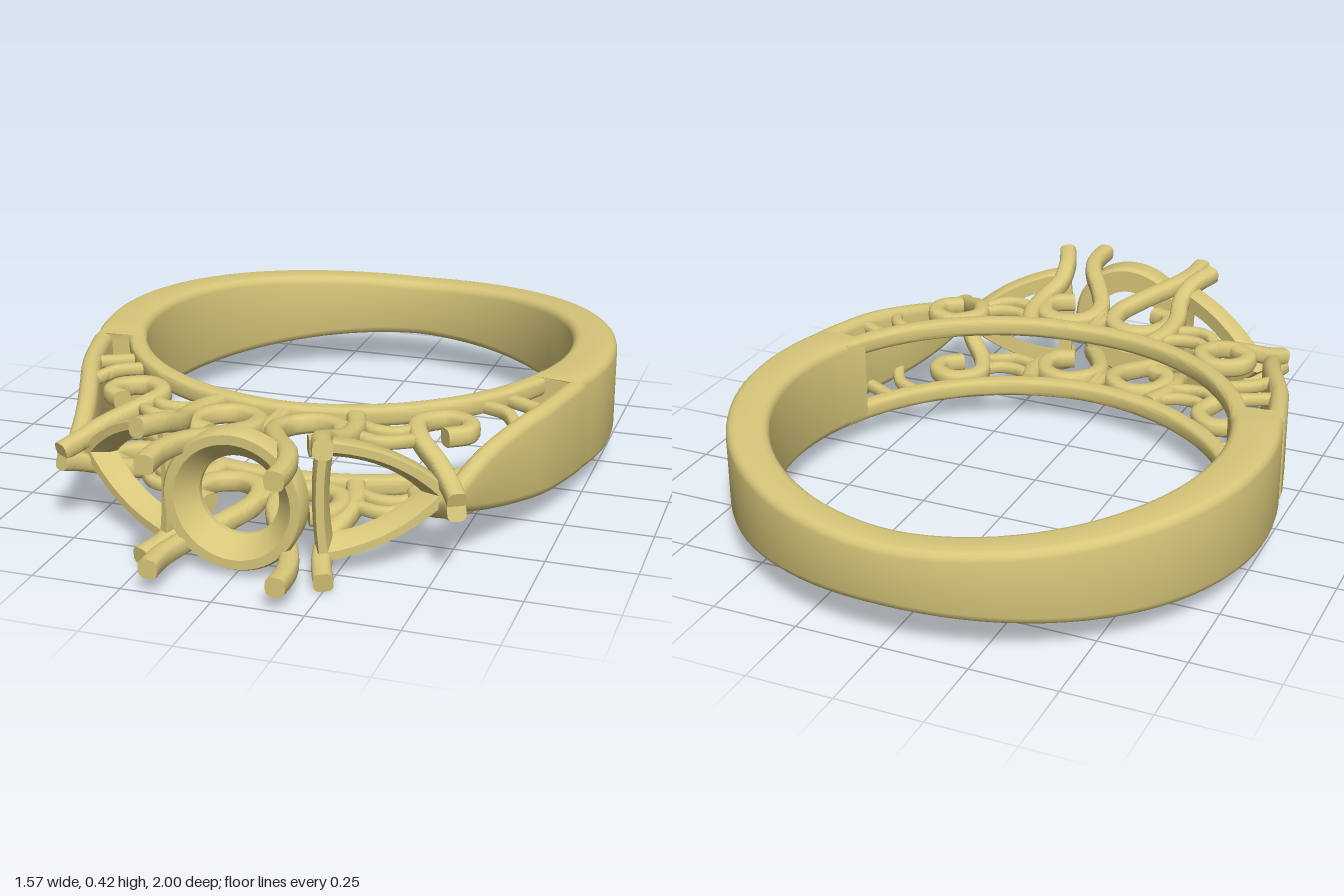
import * as THREE from 'three';
import { toCreasedNormals } from 'three/addons/utils/BufferGeometryUtils.js';

const MID = 0.213; // height of the horizontal mirror plane
const BORE = { z: -0.247, r: 0.647 }; // finger hole
const metal = new THREE.MeshStandardMaterial({ color: 0xd8c77a });

function addMesh(parent, name, geometry) {
  const mesh = new THREE.Mesh(geometry, metal);
  mesh.name = name;
  parent.add(mesh);
  return mesh;
}

// Skin over a row of equal-sized section loops
function loft(rings, closed) {
  const n = rings[0].length, pos = [], idx = [];
  rings.forEach(r => r.forEach(p => pos.push(...p)));
  const spans = closed ? rings.length : rings.length - 1;
  for (let i = 0; i < spans; i++) {
    for (let j = 0; j < n; j++) {
      const k = (j + 1) % n, m = (i + 1) % rings.length;
      const a = i * n + j, b = i * n + k, c = m * n + k, d = m * n + j;
      idx.push(a, b, c, a, c, d);
    }
  }
  if (!closed) {
    const e = (rings.length - 1) * n;
    for (let j = 1; j < n - 1; j++) idx.push(0, j + 1, j, e, e + j, e + j + 1);
  }
  const g = new THREE.BufferGeometry();
  g.setAttribute('position', new THREE.Float32BufferAttribute(pos, 3));
  g.setIndex(idx);
  return toCreasedNormals(g, 0.75);
}

// Upright rounded rectangle between an inner and an outer plan point
function section([ix, iz], [ox, oz], y, half, radius) {
  const w = Math.hypot(ox - ix, oz - iz);
  const r = Math.min(radius, w * 0.45, half * 0.9);
  const pts = [];
  [[1, -1, -90], [1, 1, 0], [-1, 1, 90], [-1, -1, 180]].forEach(([su, sv, start]) => {
    for (let k = 0; k <= 3; k++) {
      const a = THREE.MathUtils.degToRad(start + k * 30);
      const u = 0.5 + (su * (w / 2 - r) + r * Math.cos(a)) / w;
      const v = sv * (half - r) + r * Math.sin(a);
      pts.push([ix + (ox - ix) * u, y + v, iz + (oz - iz) * u]);
    }
  });
  return pts;
}

const polar = (r, cz, deg) => {
  const a = THREE.MathUtils.degToRad(deg);
  return [r * Math.sin(a), cz - r * Math.cos(a)];
};

// Soft-square wire along plan points [x, height off mid plane, z]
function wire(parent, name, pts, r, sx, sy) {
  const path = new THREE.CatmullRomCurve3(
    pts.map(([x, h, z]) => new THREE.Vector3(x * sx, MID + h * sy, z)), false, 'centripetal');
  const outline = [];
  for (let i = 0; i < 16; i++) {
    const a = (i / 16) * Math.PI * 2, c = Math.cos(a), s = Math.sin(a);
    outline.push(new THREE.Vector2(
      r * Math.sign(c) * Math.abs(c) ** 0.65, r * Math.sign(s) * Math.abs(s) ** 0.65));
  }
  const g = new THREE.ExtrudeGeometry(new THREE.Shape(outline),
    { steps: 12 * (pts.length - 1), extrudePath: path, bevelEnabled: false });
  addMesh(parent, name, toCreasedNormals(g, 0.8));
}

function buildShank(parent) {
  // Right half: [inner, outer, half height], from the back to the shoulder tip
  const half = [];
  for (let a = 0; a <= 108; a += 4) {
    half.push([polar(BORE.r, BORE.z, a), polar(0.785, -0.215, a),
      0.092 + 0.05 * Math.sin(Math.min(a, 90) * Math.PI / 180 / 1) ** 1.5]);
  }
  half.push([[0.582, 0.035], [0.752, 0.03], 0.139], [[0.692, 0.045], [0.748, 0.06], 0.138]);
  const arm = new THREE.CatmullRomCurve3([
    [0.735, 0.137, 0.11], [0.7, 0.13, 0.24], [0.652, 0.115, 0.36],
    [0.6, 0.085, 0.5], [0.562, 0.042, 0.64]].map(p => new THREE.Vector3(...p)));
  for (let i = 0; i <= 16; i++) {
    const p = arm.getPoint(i / 16);
    half.push([[p.x - 0.052, p.z - 0.02], [p.x, p.z], p.y]);
  }
  const left = half.slice(1).reverse().map(([i, o, h]) => [[-i[0], i[1]], [-o[0], o[1]], h]);
  addMesh(parent, 'shank', loft([...left, ...half].map(([i, o, h]) => section(i, o, MID, h, 0.025))));
}

// Upper and lower rails closing the finger hole at the front
function buildRail(parent, sy) {
  const rings = [];
  for (let a = 110; a <= 250; a += 4) {
    const h = 0.1 + 0.012 * Math.abs(a - 180) / 70;
    rings.push(section(polar(BORE.r, BORE.z, a), polar(0.7, BORE.z, a), MID + sy * h, 0.027, 0.015));
  }
  addMesh(parent, sy > 0 ? 'upperRail' : 'lowerRail', loft(rings));
}

// Tapered round seat for the centre stone
function buildCentreSeat(parent) {
  const profile = [[0.11, 0.775], [0.18, 0.775], [0.19, 0.785], [0.193, 0.835], [0.186, 0.848],
    [0.16, 0.848], [0.15, 0.838], [0.11, 0.79], [0.11, 0.775]];
  const g = new THREE.LatheGeometry(profile.map(([r, z]) => new THREE.Vector2(r, z)), 64);
  g.rotateX(Math.PI / 2).translate(0, MID, 0);
  const mesh = addMesh(parent, 'centreSeat', toCreasedNormals(g, 0.6));
  mesh.material = metal.clone();
  mesh.material.side = THREE.DoubleSide;
}

// Bowed triangular seat for a side stone, angled away from the centre
function buildSideSeat(parent, sx) {
  const corners = [[0.03, -0.17], [0.385, 0], [0.03, 0.17]];
  const bows = [[0.245, -0.145], [0.245, 0.145], [0.005, 0]];
  const centre = [0.148, 0];
  const rings = [];
  for (let s = 0; s < 3; s++) {
    const A = corners[s], B = corners[(s + 1) % 3], C = bows[s];
    for (let i = 0; i < 12; i++) {
      const t = i / 12;
      const p = [0, 1].map(k => (1 - t) ** 2 * A[k] + 2 * t * (1 - t) * C[k] + t * t * B[k]);
      const at = (scale, z) => [
        centre[0] + (p[0] - centre[0]) * scale, centre[1] + (p[1] - centre[1]) * scale, z];
      rings.push([at(0.98, 0.03), at(1, 0.022), at(1, -0.022), at(0.97, -0.03),
        at(0.64, -0.03), at(0.66, -0.01), at(0.82, 0.03)]);
    }
  }
  // Mirroring across x reverses the loop, so turn it round again
  const placed = sx > 0 ? rings : rings.map(r => r.map(([x, y, z]) => [-x, y, z])).reverse();
  const mesh = addMesh(parent, 'sideSeat', loft(placed, true));
  mesh.position.set(sx * 0.175, MID, 0.765);
  mesh.rotation.y = sx * 0.47;
}

function buildScrollwork(parent, sx, sy) {
  const add = (name, pts, r) => wire(parent, name, pts, r, sx, sy);
  // Centre prong running back into a curl
  add('centreProng', [[0.172, 0.143, 1], [0.17, 0.143, 0.91], [0.145, 0.14, 0.82], [0.075, 0.122, 0.7],
    [0.032, 0.108, 0.6], [0.045, 0.1, 0.52], [0.11, 0.1, 0.478], [0.18, 0.1, 0.505],
    [0.205, 0.1, 0.57], [0.19, 0.1, 0.62], [0.14, 0.1, 0.645]], 0.027);
  add('centreStem', [[0.005, 0.1, 0.43], [0.006, 0.1, 0.52], [0.025, 0.106, 0.6]], 0.02);
  // Prong shared by the inner corner of the side seat
  add('innerSideProng', [[0.2, 0.1, 0.42], [0.228, 0.105, 0.51], [0.228, 0.115, 0.6],
    [0.208, 0.14, 0.69], [0.218, 0.168, 0.77], [0.252, 0.182, 0.86]], 0.027);
  // Prong at the outer corner of the side seat, with its curl
  add('outerSideProng', [[0.555, 0.014, 0.69], [0.525, 0.03, 0.64], [0.475, 0.06, 0.575],
    [0.4, 0.092, 0.49], [0.375, 0.1, 0.405], [0.435, 0.1, 0.345], [0.505, 0.1, 0.375],
    [0.515, 0.1, 0.435], [0.465, 0.1, 0.478]], 0.026);
  // Small braces
  add('brace', [[0.54, 0.1, 0.135], [0.665, 0.1, 0.2]], 0.018);
  add('brace', [[0.5, 0.1, 0.21], [0.58, 0.1, 0.255], [0.625, 0.09, 0.33]], 0.018);
  add('brace', [[0.22, 0.1, 0.46], [0.28, 0.1, 0.49], [0.34, 0.1, 0.485], [0.39, 0.1, 0.43]], 0.018);
  add('brace', [[0.225, 0.1, 0.54], [0.31, 0.1, 0.565], [0.35, 0.1, 0.55], [0.4, 0.09, 0.49]], 0.018);
}

export function createModel() {
  const ring = new THREE.Group();
  ring.name = 'ring';
  buildShank(ring);
  buildCentreSeat(ring);
  for (const sx of [1, -1]) {
    buildSideSeat(ring, sx);
    for (const sy of [1, -1]) {
      const scroll = new THREE.Group();
      scroll.name = (sy > 0 ? 'upper' : 'lower') + (sx > 0 ? 'Left' : 'Right') + 'Scrollwork';
      buildScrollwork(scroll, sx, sy);
      ring.add(scroll);
    }
  }
  for (const sy of [1, -1]) buildRail(ring, sy);
  return ring;
}
